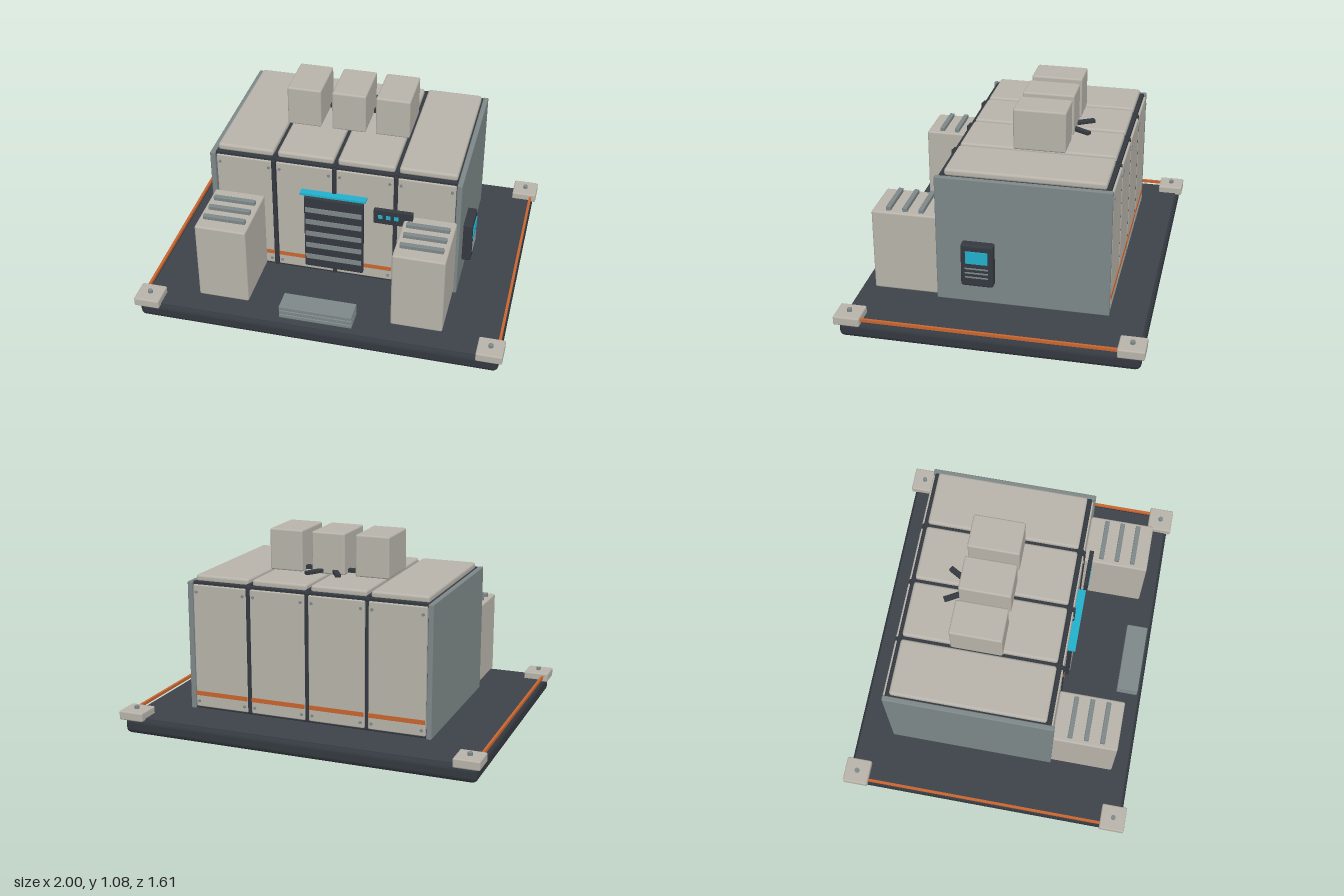
import * as THREE from 'three';
import { RoundedBoxGeometry } from 'three/addons/geometries/RoundedBoxGeometry.js';

const material = (name, color) => {
  const m = new THREE.MeshStandardMaterial({ color });
  m.name = name;
  return m;
};

export function createModel() {
  const model = new THREE.Group();
  model.name = 'modularBuilding';
  const panel = material('warm panel grey', 0xb7b3aa);
  const steel = material('blue grey steel', 0x7d8788);
  const dark = material('dark frame', 0x343940);
  const deckGrey = material('deck grey', 0x3d4249);
  const orange = material('orange trim', 0xc8652f);
  const cyan = material('cyan light', 0x22b0cc);

  // Box given by its extents; r > 0 rounds the edges
  const box = (name, mat, [x0, x1], [y0, y1], [z0, z1], r = 0, parent = model) => {
    const s = [x1 - x0, y1 - y0, z1 - z0];
    const geo = r ? new RoundedBoxGeometry(...s, 2, r) : new THREE.BoxGeometry(...s);
    const mesh = new THREE.Mesh(geo, mat);
    mesh.position.set((x0 + x1) / 2, (y0 + y1) / 2, (z0 + z1) / 2);
    mesh.name = name;
    parent.add(mesh);
    return mesh;
  };
  // Bolt head; axis 'y' or 'z'
  const bolt = (mat, x, y, z, r, h, axis) => {
    const mesh = new THREE.Mesh(new THREE.CylinderGeometry(r, r, h, 12), mat);
    mesh.position.set(x, y, z);
    if (axis === 'z') mesh.rotation.x = Math.PI / 2;
    mesh.name = 'bolt';
    model.add(mesh);
  };
  const around = (c, w) => [c - w / 2, c + w / 2];

  // Base platform, corner feet and edge trim
  box('base', dark, [-0.98, 0.98], [0, 0.088], [-0.785, 0.785], 0.03);
  box('deck', deckGrey, [-0.96, 0.96], [0.084, 0.092], [-0.768, 0.768]);
  for (const sx of [-1, 1]) {
    for (const sz of [-1, 1]) {
      box('cornerPad', panel, around(sx * 0.93, 0.14), [0.08, 0.13], around(sz * 0.735, 0.14), 0.008);
      bolt(steel, sx * 0.93, 0.137, sz * 0.735, 0.013, 0.018, 'y');
    }
    box('edgeTrim', orange, around(sx * 0.968, 0.014), [0.1, 0.116], [-0.67, 0.67]);
  }

  // Core and side walls
  box('core', dark, [-0.66, 0.66], [0.118, 0.818], [-0.56, 0.308]);
  for (const sx of [-1, 1]) {
    box('sideWall', steel, around(sx * 0.668, 0.028), [0.115, 0.822], [-0.58, 0.335], 0.006);
  }

  // Four bays: front and back panels, stripes, bolts and roof panels
  for (const cx of [-0.495, -0.165, 0.165, 0.495]) {
    const xs = around(cx, 0.308);
    for (const [z0, z1, face, s] of [[0.3, 0.325, 0.325, 1], [-0.58, -0.552, -0.58, -1]]) {
      box('wallPanel', panel, xs, [0.13, 0.808], [z0, z1], 0.006);
      box('wallStripe', orange, around(cx, 0.304), [0.194, 0.218], around(face, 0.006));
      for (const dx of [-0.135, 0.135]) {
        for (const y of [0.162, 0.768]) bolt(steel, cx + dx, y, face + s * 0.002, 0.008, 0.008, 'z');
      }
    }
    box('roofPanel', panel, xs, [0.815, 0.854], [-0.545, 0.29], 0.014);
  }

  // Frame posts and horizontal beams
  for (const x of [-0.333, 0, 0.333]) {
    for (const z of [0.32, -0.565]) box('post', dark, around(x, 0.022), [0.125, 0.82], around(z, 0.026), 0.006);
    box('roofJoint', dark, around(x, 0.022), [0.81, 0.83], [-0.56, 0.32]);
  }
  for (const z of [0.304, -0.556]) {
    box('topBeam', dark, [-0.655, 0.655], [0.8, 0.825], around(z, 0.024), 0.006);
    box('bottomBeam', dark, [-0.655, 0.655], [0.118, 0.132], around(z, 0.03), 0.005);
  }

  // Shutter door with slats and a light above
  box('door', dark, [-0.163, 0.163], [0.165, 0.625], [0.32, 0.35], 0.006);
  for (let i = 0; i < 5; i++) {
    box('doorSlat', steel, [-0.155, 0.155], around(0.235 + i * 0.078, 0.03), [0.345, 0.354]);
  }
  box('doorLight', cyan, [-0.18, 0.18], [0.65, 0.662], [0.325, 0.368]);

  // Entry steps
  for (let i = 0; i < 3; i++) {
    box('step', steel, [-0.198, 0.198], around(0.129 + i * 0.026, 0.022), [0.638, 0.757], 0.004);
  }

  // Control strip beside the door
  box('controlStrip', dark, [0.225, 0.435], [0.54, 0.628], [0.35, 0.374], 0.004);
  for (const x of [0.262, 0.305, 0.348]) box('indicator', cyan, around(x, 0.024), around(0.586, 0.022), [0.37, 0.378]);

  // Front cabinets with top vents
  for (const sx of [-1, 1]) {
    const cx = sx * 0.527;
    box('cabinet', panel, around(cx, 0.277), [0.128, 0.583], [0.325, 0.682], 0.01);
    for (const z of [0.42, 0.508, 0.596]) {
      box('cabinetVent', steel, around(cx, 0.23), [0.575, 0.605], around(z, 0.026), 0.004);
    }
  }

  // Roof units, linking ducts and splayed pipes
  for (const x of [-0.248, 0, 0.242]) {
    box('roofUnit', panel, around(x, 0.188), [0.852, 1.078], [-0.28, 0], 0.01);
  }
  for (const sx of [-1, 1]) {
    box('duct', dark, around(sx * 0.125, 0.09), [0.86, 0.88], around(-0.217, 0.03));
    const pipe = box('splayedPipe', dark, around(sx * 0.064, 0.03), [0.86, 0.88], around(-0.317, 0.11), 0.004);
    pipe.rotation.y = -sx * 0.52;
  }

  // Wall terminal on the left side
  box('terminal', dark, [0.675, 0.732], [0.235, 0.475], [0.02, 0.192], 0.012);
  box('terminalScreen', cyan, [0.73, 0.737], [0.37, 0.44], [0.048, 0.165]);
  for (const y of [0.29, 0.315, 0.34]) box('terminalSlot', steel, [0.73, 0.736], around(y, 0.007), [0.045, 0.168]);

  return model;
}
